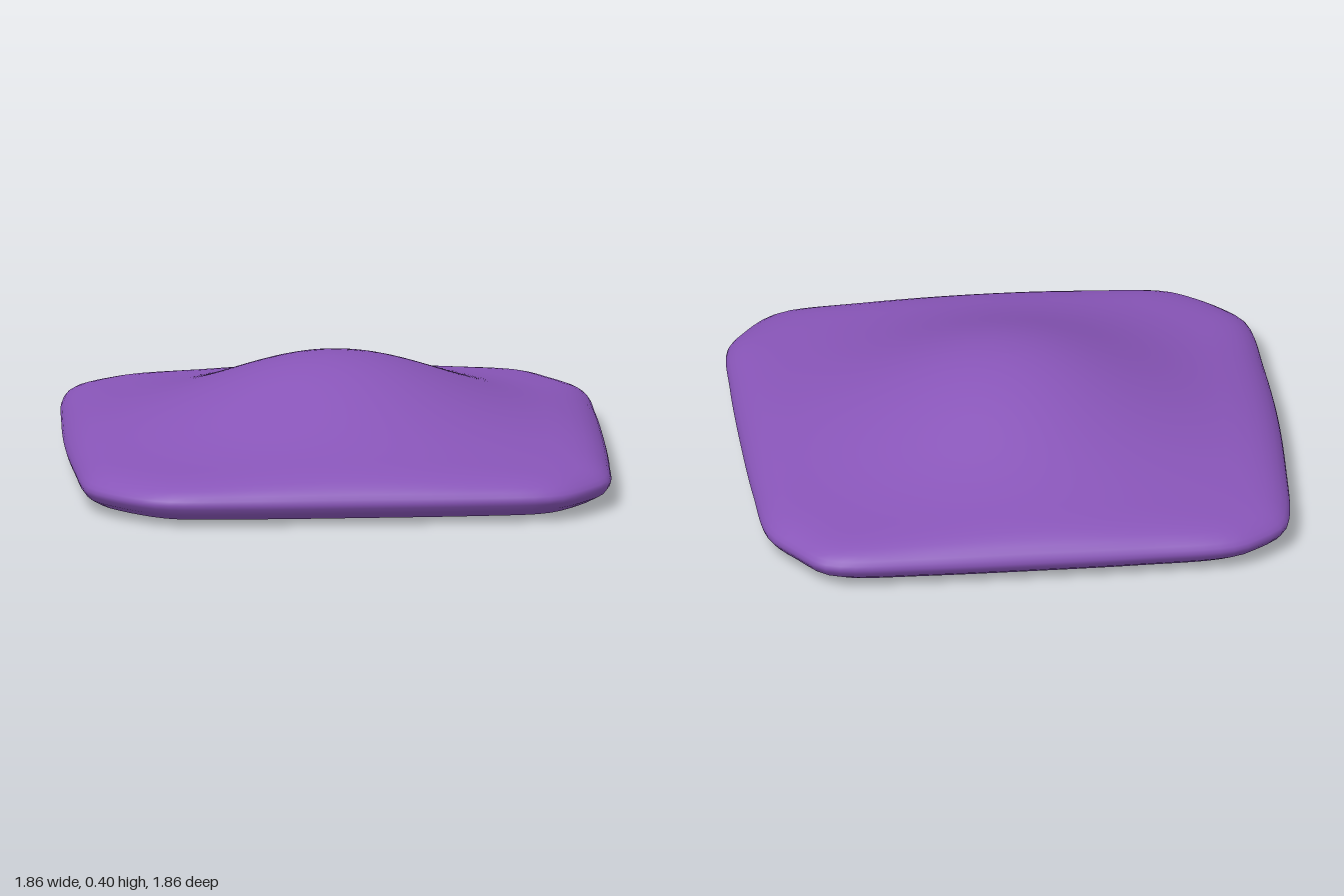
import * as THREE from 'three';

// Cushion outline seen from above (x, z), slightly uneven at the corners
const OUTLINE = [
  [0.93, 0], [0.925, 0.4], [0.905, 0.68], [0.85, 0.77], [0.77, 0.86], [0.7, 0.9], [0.45, 0.92],
  [0, 0.925], [-0.35, 0.922], [-0.65, 0.9], [-0.75, 0.84], [-0.85, 0.74], [-0.9, 0.66], [-0.925, 0.35],
  [-0.935, 0], [-0.925, -0.35], [-0.9, -0.7], [-0.87, -0.79], [-0.79, -0.86], [-0.7, -0.91], [-0.38, -0.928],
  [0, -0.93], [0.4, -0.925], [0.68, -0.91], [0.75, -0.88], [0.83, -0.77], [0.905, -0.64], [0.925, -0.35],
];

// Underside and lower rim: [scale, height]
const LOWER = [[0, 0.01], [0.4, 0.01], [0.78, 0.01], [0.88, 0.017], [0.94, 0.03], [0.98, 0.055], [0.995, 0.075], [1, 0.09]];
// Upper rim: [scale, share of the dome height above the rim line]
const UPPER = [[0.995, 0.2], [0.985, 0.4], [0.965, 0.62], [0.94, 0.78], [0.91, 0.9], [0.87, 0.97]];

// Soft hill that flattens into a wide skirt
const domeHeight = (r) => 0.15 + 0.255 * Math.exp(-3.05 * Math.pow(r, 2.1));

export function createModel() {
  const group = new THREE.Group();
  group.name = 'cushion';

  const curve = new THREE.CatmullRomCurve3(OUTLINE.map(([x, z]) => new THREE.Vector3(x, 0, z)), true);
  const SEG = 128;
  const edge = curve.getSpacedPoints(SEG).slice(0, SEG);

  // Rings run from the middle of the underside, round the rim, to the peak
  const rings = [
    ...LOWER.map(([s, y]) => ({ s, y: () => y })),
    ...UPPER.map(([s, f]) => ({ s, y: (r) => 0.09 + (domeHeight(r) - 0.09) * f })),
  ];
  for (let i = 20; i >= 0; i--) rings.push({ s: 0.82 * i / 20, y: domeHeight });

  const positions = [];
  const indices = [];
  rings.forEach(({ s, y }, i) => {
    edge.forEach((p, j) => {
      const x = p.x * s, z = p.z * s;
      positions.push(x, y(Math.hypot(x, z)), z);
      if (i === rings.length - 1) return;
      const a = i * SEG + j, b = i * SEG + (j + 1) % SEG;
      if (s > 0) indices.push(a, a + SEG, b);
      if (rings[i + 1].s > 0) indices.push(b, a + SEG, b + SEG);
    });
  });

  const geometry = new THREE.BufferGeometry();
  geometry.setAttribute('position', new THREE.Float32BufferAttribute(positions, 3));
  geometry.setIndex(indices);
  geometry.computeVertexNormals();

  const body = new THREE.Mesh(geometry, new THREE.MeshStandardMaterial({ color: 0x8855b8 }));
  body.name = 'cushionBody';
  group.add(body);
  return group;
}
